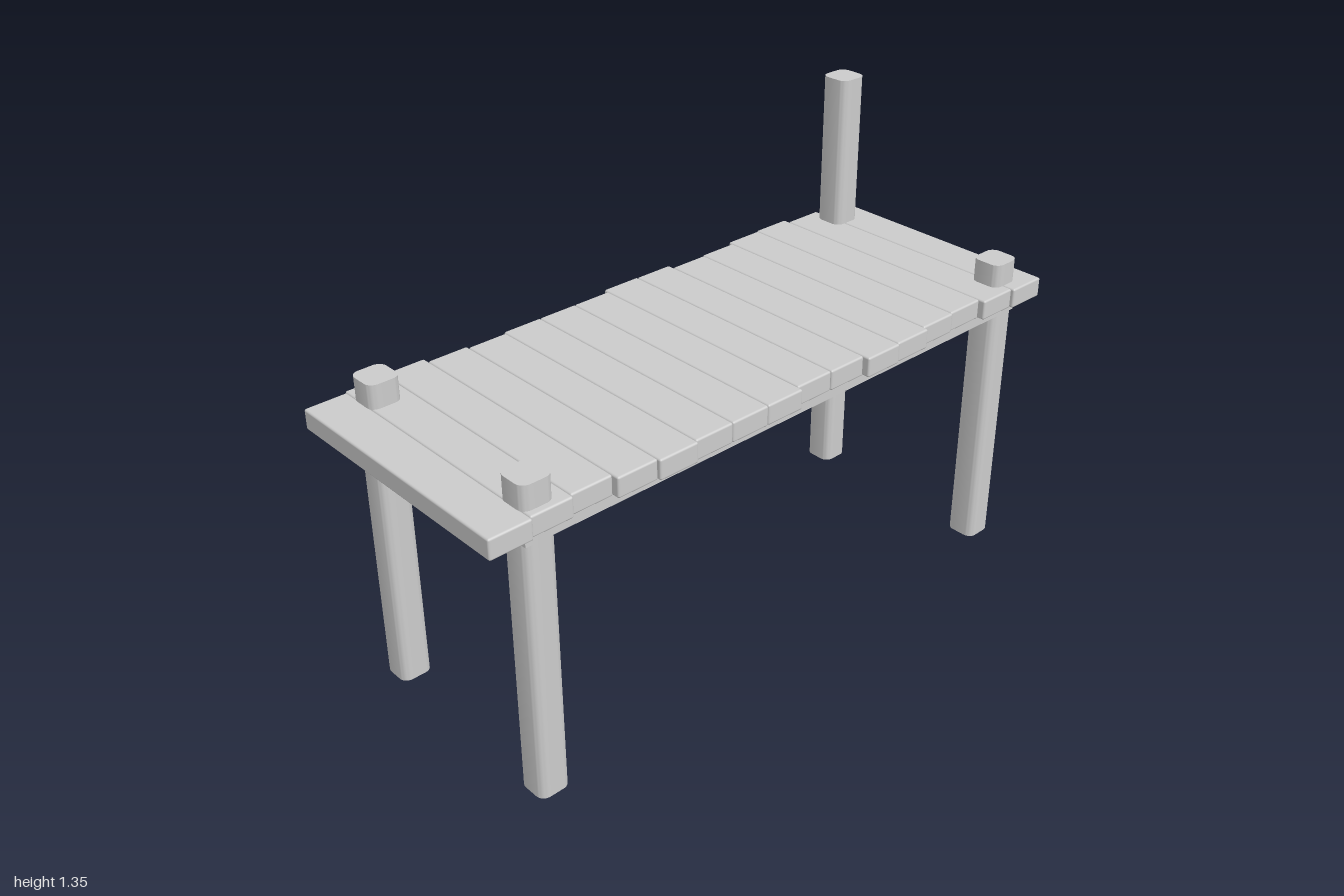
import * as THREE from 'three';
import { toCreasedNormals } from 'three/addons/utils/BufferGeometryUtils.js';
import { RoundedBoxGeometry } from 'three/addons/geometries/RoundedBoxGeometry.js';

const material = new THREE.MeshStandardMaterial({ color: 0xcccccc });

const POST = 0.095;                 // post and rail width
const LEFT = 0.887, RIGHT = -0.833; // post centres
const FRONT = 0.318, BACK = -0.308;
const DECK_BOTTOM = 0.82, DECK_TOP = 0.88;

function addMesh(parent, name, geometry, x, y, z) {
  const mesh = new THREE.Mesh(geometry, material);
  mesh.name = name;
  mesh.position.set(x, y, z);
  parent.add(mesh);
  return mesh;
}

// Square post with rounded vertical corners and flat ends, base at y = 0
function postGeometry(height) {
  const h = POST / 2, r = 0.026, k = h - r;
  const shape = new THREE.Shape();
  shape.absarc(k, k, r, 0, Math.PI / 2);
  shape.absarc(-k, k, r, Math.PI / 2, Math.PI);
  shape.absarc(-k, -k, r, Math.PI, Math.PI * 1.5);
  shape.absarc(k, -k, r, Math.PI * 1.5, Math.PI * 2);
  const geometry = new THREE.ExtrudeGeometry(shape, { depth: height, bevelEnabled: false, curveSegments: 4 });
  geometry.rotateX(-Math.PI / 2);
  return toCreasedNormals(geometry, Math.PI / 5);
}

export function createModel() {
  const model = new THREE.Group();
  model.name = 'dock';

  // Posts: three short, one tall mooring post at the back left
  const posts = [
    ['frontLeftPost', LEFT, FRONT, 0.95],
    ['frontRightPost', RIGHT, FRONT, 0.95],
    ['backRightPost', RIGHT, BACK, 0.95],
    ['tallBackLeftPost', LEFT, BACK, 1.35],
  ];
  for (const [name, x, z, height] of posts) addMesh(model, name, postGeometry(height), x, 0, z);

  // Rail frame under the deck, in line with the posts
  const frame = new THREE.Group();
  frame.name = 'railFrame';
  model.add(frame);
  const railBottom = 0.785, railHeight = DECK_BOTTOM + 0.01 - railBottom;
  const railY = railBottom + railHeight / 2, width = POST - 0.001;
  const midX = (LEFT + RIGHT) / 2, midZ = (FRONT + BACK) / 2;
  const longRail = new THREE.BoxGeometry(LEFT - RIGHT + width, railHeight, width);
  const crossRail = new THREE.BoxGeometry(width, railHeight, FRONT - BACK - width);
  addMesh(frame, 'frontRail', longRail, midX, railY, FRONT);
  addMesh(frame, 'backRail', longRail, midX, railY, BACK);
  addMesh(frame, 'leftRail', crossRail, LEFT, railY, midZ);
  addMesh(frame, 'rightRail', crossRail, RIGHT, railY, midZ);

  // Deck planks, each shifted slightly front to back
  const deck = new THREE.Group();
  deck.name = 'deck';
  model.add(deck);
  const shifts = [0.002, -0.007, -0.017, 0.003, 0.012, 0.003, 0.003, 0.003,
    -0.014, -0.012, 0.008, 0.003, -0.012, -0.017, 0.003, 0.012];
  const plankWidth = 2 / shifts.length;
  const plank = new RoundedBoxGeometry(plankWidth, DECK_TOP - DECK_BOTTOM, 0.786, 2, 0.006);
  shifts.forEach((shift, i) => {
    addMesh(deck, 'plank', plank, -1 + plankWidth * (i + 0.5), (DECK_TOP + DECK_BOTTOM) / 2, shift);
  });

  return model;
}
